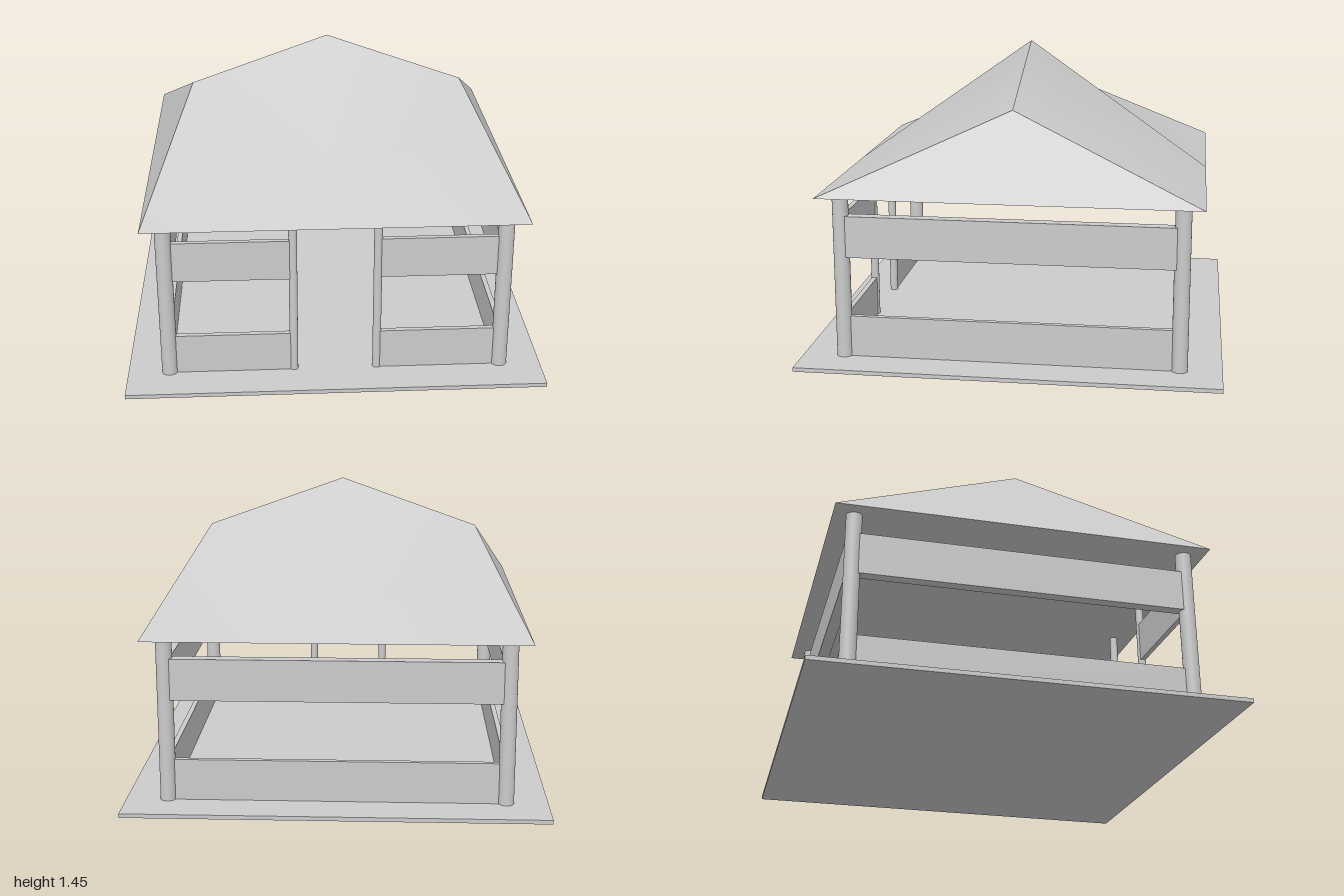
import * as THREE from 'three';

const mat = new THREE.MeshStandardMaterial({ color: 0xcccccc });
const FLOOR = 0.02, EAVE = 0.815, POST = 0.8;

function add(group, name, geometry, x = 0, y = 0, z = 0) {
  const mesh = new THREE.Mesh(geometry, mat);
  mesh.name = name;
  mesh.position.set(x, y, z);
  group.add(mesh);
  return mesh;
}

// Indexed triangles, smooth inside one surface
function surface(points, index) {
  const g = new THREE.BufferGeometry();
  g.setAttribute('position', new THREE.Float32BufferAttribute(points.flat(), 3));
  g.setIndex(index);
  g.computeVertexNormals();
  return g;
}

function addPost(group, name, radius, x, z) {
  const h = EAVE - FLOOR;
  add(group, name, new THREE.CylinderGeometry(radius, radius, h, 24), x, FLOOR + h / 2, z);
}

// Roof: peaked ridge, two smooth slopes, two hip ends and a flat underside
function buildRoof() {
  const roof = new THREE.Group();
  roof.name = 'roof';
  const e = 0.9, r = 0.675, hipY = 1.21, peakY = 1.45;
  const slope = surface(
    [[-e, EAVE, e], [0, EAVE, e], [e, EAVE, e], [r, hipY, 0], [0, peakY, 0], [-r, hipY, 0]],
    [0, 1, 5, 1, 4, 5, 1, 3, 4, 1, 2, 3]);
  const hip = surface([[e, EAVE, e], [e, EAVE, -e], [r, hipY, 0]], [0, 1, 2]);
  for (const [side, turn] of [['front', 0], ['back', Math.PI]]) {
    add(roof, side + 'Slope', slope).rotation.y = turn;
  }
  for (const [side, turn] of [['left', 0], ['right', Math.PI]]) {
    add(roof, side + 'HipEnd', hip).rotation.y = turn;
  }
  add(roof, 'underside', new THREE.PlaneGeometry(2 * e, 2 * e), 0, EAVE, 0).rotation.x = Math.PI / 2;
  return roof;
}

export function createModel() {
  const model = new THREE.Group();
  model.name = 'pavilion';

  add(model, 'floor', new THREE.BoxGeometry(2, FLOOR, 2), 0, FLOOR / 2, 0);

  // Corner posts and the slimmer entrance posts
  for (const s of [-1, 1]) {
    for (const t of [-1, 1]) addPost(model, 'cornerPost', 0.038, s * POST, t * POST);
    addPost(model, 'entrancePost', 0.02, s * 0.2, POST);
  }

  // Low walls and upper boards; the front is open between the entrance posts
  const bands = [
    { name: 'lowWall', y: 0.12, thick: 0.025 },
    { name: 'upperBoard', y: 0.615, thick: 0.055 },
  ];
  for (const { name, y, thick } of bands) {
    const long = new THREE.BoxGeometry(1.6, 0.2, thick);
    add(model, name + 'Back', long, 0, y, -POST);
    for (const s of [-1, 1]) {
      add(model, name + (s > 0 ? 'Left' : 'Right'), long, s * POST, y, 0).rotation.y = Math.PI / 2;
      add(model, name + 'Front', new THREE.BoxGeometry(0.6, 0.2, 0.025), s * 0.5, y, POST);
    }
  }

  model.add(buildRoof());
  return model;
}
